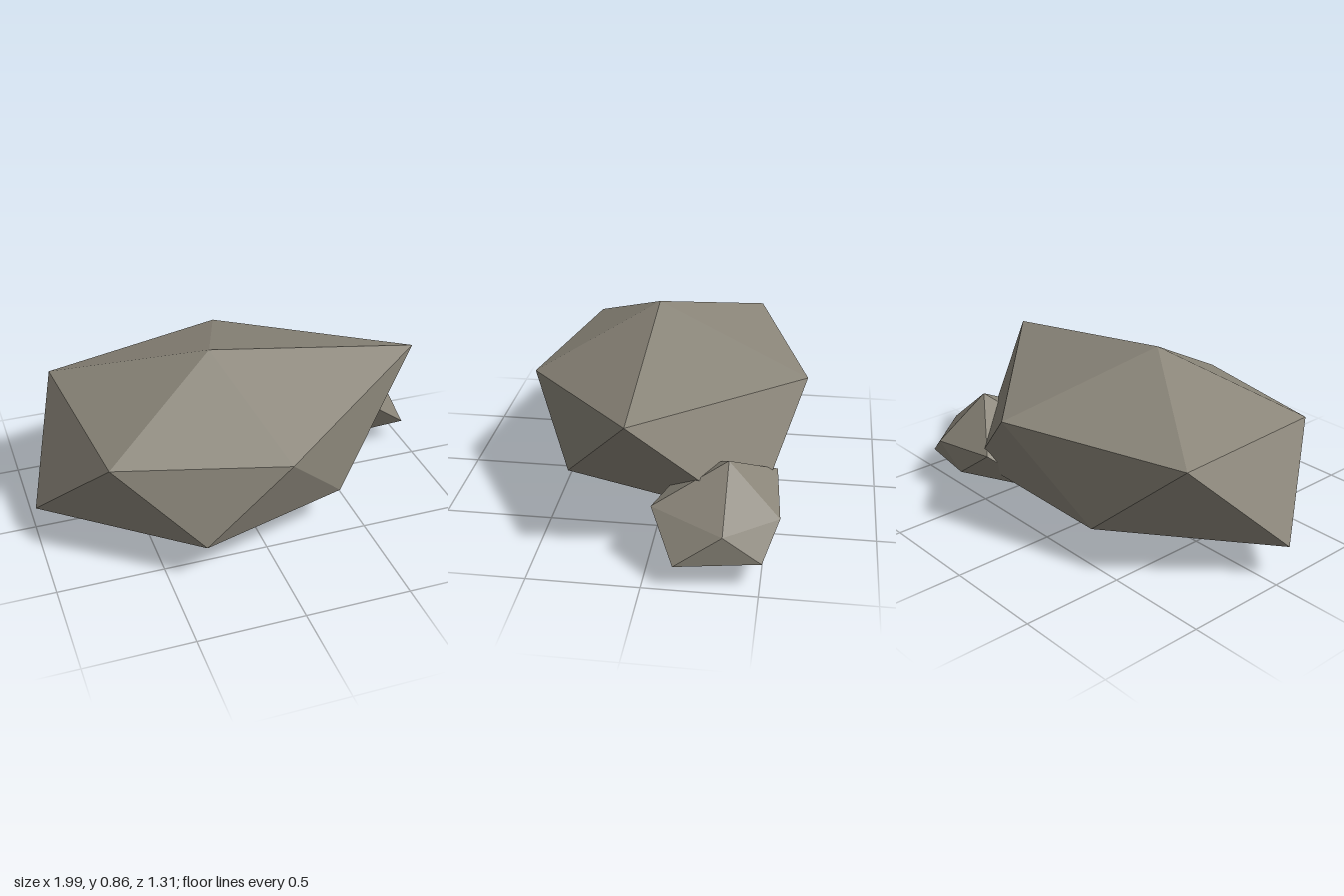
import * as THREE from 'three';

// Faceted stone: a 20-sided solid with an apex, two staggered rings of five and a base point.
// upper / lower are ring radii, every 72 degrees from +x towards +z (lower is offset by 36).
function stoneGeometry({ upper, lower, top, bottom, rise, drop }) {
  const depth = 0.942; // slightly narrower in z
  const ring = (radii, offset, slope) => radii.map((r, i) => {
    const a = (i + offset) * Math.PI * 2 / 5;
    return [r * Math.cos(a), r * slope, r * Math.sin(a) * depth];
  });
  const U = ring(upper, 0, rise);
  const L = ring(lower, 0.5, -drop);
  const apex = [0, top, 0], base = [0, -bottom, 0];
  const corners = [];
  for (let i = 0; i < 5; i++) {
    const j = (i + 1) % 5;
    corners.push(apex, U[j], U[i]);
    corners.push(U[i], U[j], L[i]);
    corners.push(L[i], U[j], L[j]);
    corners.push(base, L[i], L[j]);
  }
  const geometry = new THREE.BufferGeometry();
  geometry.setAttribute('position', new THREE.Float32BufferAttribute(corners.flat(), 3));
  geometry.computeVertexNormals(); // unshared corners give flat facets
  return geometry;
}

export function createModel() {
  const group = new THREE.Group();
  group.name = 'rocks';
  const stone = new THREE.MeshStandardMaterial({ color: 0x8a8579, flatShading: true });
  stone.name = 'warm grey stone';

  // Large boulder
  const boulder = new THREE.Mesh(stoneGeometry({
    upper: [1.04, 0.647, 0.717, 0.828, 0.81],
    lower: [0.655, 0.647, 0.86, 0.653, 0.95],
    top: 0.56, bottom: 0.3, rise: 0.385, drop: 0.157,
  }), stone);
  boulder.name = 'boulder';
  boulder.position.set(-0.14, 0.3, 0.075);

  // Small rock wedged under its back left side
  const smallRock = new THREE.Mesh(stoneGeometry({
    upper: [0.27, 0.36, 0.36, 0.36, 0.257],
    lower: [0.37, 0.27, 0.45, 0.24, 0.3],
    top: 0.32, bottom: 0.067, rise: 0.38, drop: 0.1,
  }), stone);
  smallRock.name = 'smallRock';
  smallRock.position.set(0.695, 0.15, -0.34);

  group.add(boulder, smallRock);
  return group;
}
